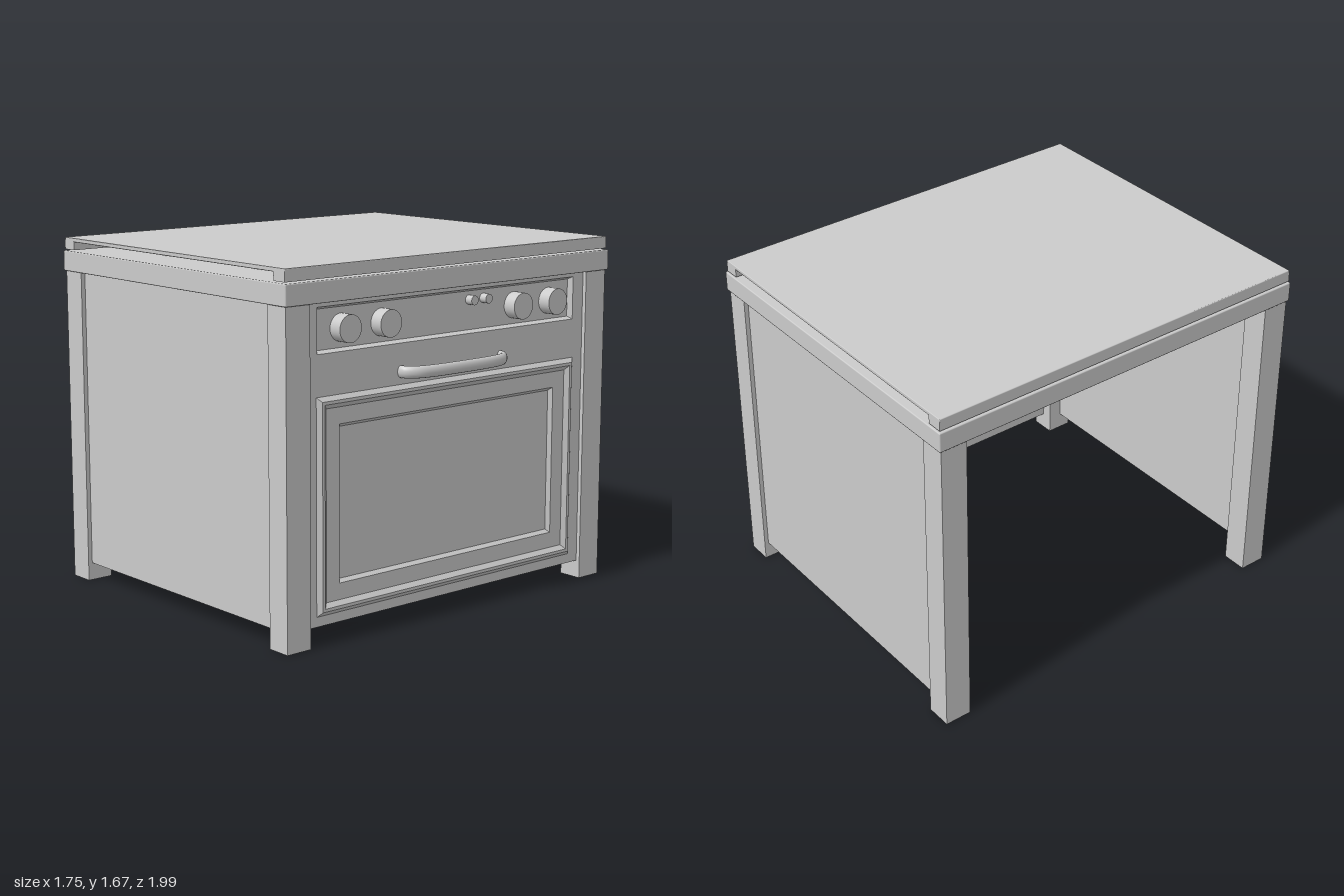
import * as THREE from 'three';
import { RoundedBoxGeometry } from 'three/addons/geometries/RoundedBoxGeometry.js';

const mat = new THREE.MeshStandardMaterial({ color: 0xcccccc, side: THREE.DoubleSide });

export function createModel() {
  const root = new THREE.Group();
  const add = (name, geo, x = 0, y = 0, z = 0) => {
    const m = new THREE.Mesh(geo, mat);
    m.name = name;
    m.position.set(x, y, z);
    root.add(m);
    return m;
  };
  // Box given by its extents, optionally with softened edges
  const box = (name, x0, x1, y0, y1, z0, z1, r = 0) => {
    const s = [x1 - x0, y1 - y0, z1 - z0];
    const geo = r ? new RoundedBoxGeometry(...s, 1, r) : new THREE.BoxGeometry(...s);
    return add(name, geo, (x0 + x1) / 2, (y0 + y1) / 2, (z0 + z1) / 2);
  };
  // Nested rectangular rings facing +x; each step is [inset, x], last one is capped
  const molding = (name, [z0, z1, y0, y1], steps) => {
    const rings = steps.map(([i, x]) => [
      [x, y0 + i, z1 - i], [x, y0 + i, z0 + i], [x, y1 - i, z0 + i], [x, y1 - i, z1 - i],
    ]);
    const pos = [];
    const quad = (a, b, c, d) => pos.push(...a, ...b, ...c, ...a, ...c, ...d);
    for (let k = 0; k < rings.length - 1; k++) {
      for (let j = 0; j < 4; j++) {
        const n = (j + 1) % 4;
        quad(rings[k][j], rings[k][n], rings[k + 1][n], rings[k + 1][j]);
      }
    }
    quad(...rings[rings.length - 1]);
    const geo = new THREE.BufferGeometry();
    geo.setAttribute('position', new THREE.Float32BufferAttribute(pos, 3));
    geo.computeVertexNormals();
    return add(name, geo);
  };

  // Hollow legs, open underneath
  for (const [x0, x1] of [[-0.865, -0.74], [0.67, 0.79]]) {
    for (const z of [-0.92, 0.92]) {
      const leg = box('leg', x0, x1, 0, 1.51, z - 0.066, z + 0.066);
      const idx = Array.from(leg.geometry.index.array);
      idx.splice(18, 6);
      leg.geometry.setIndex(idx);
      leg.geometry.clearGroups();
    }
  }

  // Side panels, set slightly back from the legs
  box('sidePanel', -0.74, 0.67, 0.085, 1.51, 0.925, 0.965);
  box('sidePanel', -0.74, 0.67, 0.085, 1.51, -0.965, -0.925);

  // Oven face with openings for the control panel and door
  const control = [-0.785, 0.8, 1.285, 1.487];
  const door = [-0.79, 0.805, 0.13, 1.1];
  const rect = (Type, [z0, z1, y0, y1]) => new Type([
    new THREE.Vector2(-z1, y0), new THREE.Vector2(-z0, y0),
    new THREE.Vector2(-z0, y1), new THREE.Vector2(-z1, y1),
  ]);
  const face = rect(THREE.Shape, [-0.855, 0.855, 0.085, 1.51]);
  face.holes.push(rect(THREE.Path, control), rect(THREE.Path, door));
  const faceGeo = new THREE.ExtrudeGeometry(face, { depth: 0.045, bevelEnabled: false });
  faceGeo.rotateY(Math.PI / 2);
  add('ovenFace', faceGeo, 0.725);

  molding('controlPanel', control, [[0, 0.77], [0.012, 0.745]]);
  molding('ovenDoor', door, [
    [0, 0.77], [0.02, 0.788], [0.034, 0.788], [0.055, 0.77], [0.13, 0.77], [0.145, 0.752],
  ]);

  // Round controls
  const knob = (name, r, x0, x1, y, z) => {
    const geo = new THREE.CylinderGeometry(r, r, x1 - x0, 32);
    geo.rotateZ(-Math.PI / 2);
    add(name, geo, (x0 + x1) / 2, y, z);
  };
  for (const z of [0.645, 0.412, -0.41, -0.64]) knob('knob', 0.062, 0.745, 0.81, 1.385, z);
  for (const z of [-0.12, -0.21]) knob('button', 0.022, 0.745, 0.785, 1.435, z);

  // Bowed door handle
  const path = new THREE.CatmullRomCurve3([
    [0.76, 0.31], [0.795, 0.305], [0.83, 0.265], [0.848, 0.19], [0.855, 0],
    [0.848, -0.19], [0.83, -0.265], [0.795, -0.305], [0.76, -0.31],
  ].map(([x, z]) => new THREE.Vector3(x, 0, z)));
  const handle = add('doorHandle', new THREE.TubeGeometry(path, 40, 0.018, 14), 0, 1.158, 0.01);
  handle.scale.y = 1.55;

  // Cooktop and its four burners
  box('cooktop', -0.873, 0.802, 1.507, 1.604, -0.997, 0.997, 0.006);
  for (const x of [-0.375, 0.315]) {
    for (const z of [-0.47, 0.47]) {
      add('burner', new THREE.CylinderGeometry(0.295, 0.295, 0.036, 48), x, 1.62, z);
    }
  }

  // Raised lid on two rails
  box('lid', -0.865, 0.79, 1.648, 1.667, -0.99, 0.99, 0.004);
  box('lidRail', -0.865, -0.79, 1.61, 1.655, -0.99, 0.99);
  box('lidRail', 0.715, 0.79, 1.61, 1.655, -0.99, 0.99);

  return root;
}
